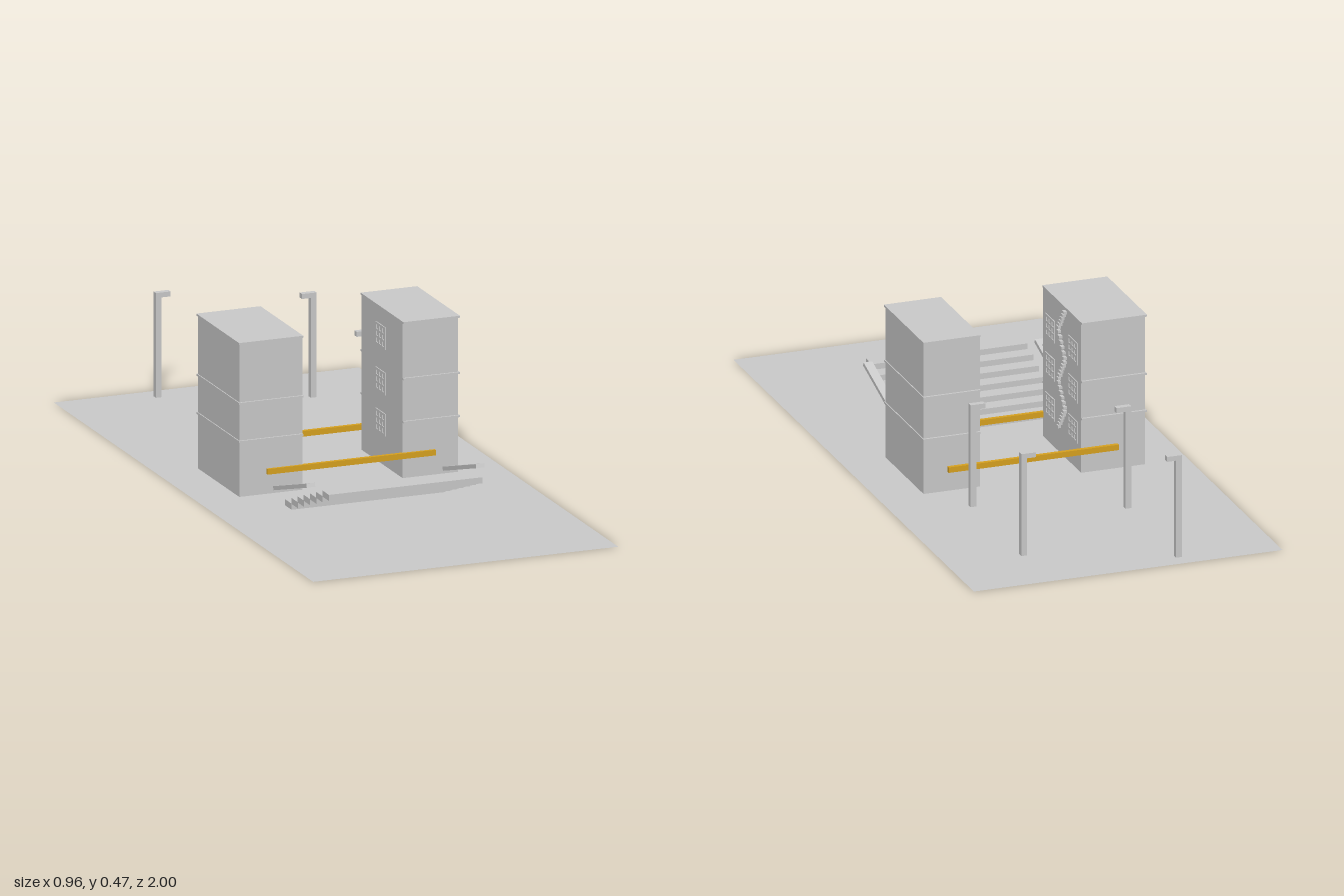
import * as THREE from 'three';

const grey = new THREE.MeshStandardMaterial({ color: 0xcccccc, flatShading: true });
const yellow = new THREE.MeshStandardMaterial({ color: 0xd9a320, flatShading: true });

// Box given by its limits on each axis
function block(parent, name, x0, x1, y0, y1, z0, z1, material = grey) {
  const mesh = new THREE.Mesh(new THREE.BoxGeometry(x1 - x0, y1 - y0, z1 - z0), material);
  mesh.position.set((x0 + x1) / 2, (y0 + y1) / 2, (z0 + z1) / 2);
  mesh.name = name;
  parent.add(mesh);
  return mesh;
}

function makeGroup(parent, name) {
  const g = new THREE.Group();
  g.name = name;
  parent.add(g);
  return g;
}

// Lattice window standing slightly proud of an inner tower wall
function addWindow(parent, wallX, out, y, z) {
  const w = 0.076, h = 0.068, bar = 0.007, n = 4;
  const g = makeGroup(parent, 'window');
  const x0 = Math.min(wallX, wallX + out), x1 = Math.max(wallX, wallX + out);
  for (let i = 0; i < n; i++) {
    const t = i / (n - 1) - 0.5;
    const cz = z + t * (w - bar), cy = y + t * (h - bar);
    block(g, 'windowUpright', x0, x1, y - h / 2, y + h / 2, cz - bar / 2, cz + bar / 2);
    block(g, 'windowCrossbar', x0, x1, cy - bar / 2, cy + bar / 2, z - w / 2, z + w / 2);
  }
}

// Tower with ledges flush on the inner side and overhanging elsewhere
function addTower(parent, name, x0, x1, height, ledges, side) {
  const g = makeGroup(parent, name);
  block(g, 'towerBody', x0, x1, 0, height - 0.001, -0.21, 0.107);
  const over = 0.003;
  for (const y of ledges) {
    block(g, 'ledge', x0 - (side < 0 ? over : 0), x1 + (side > 0 ? over : 0),
      y - 0.006, y, -0.217, 0.113);
  }
  return g;
}

export function createModel() {
  const model = new THREE.Group();
  model.name = 'courtyardWithTowers';

  // Ground sheet
  const ground = new THREE.Mesh(new THREE.PlaneGeometry(0.96, 2),
    new THREE.MeshStandardMaterial({ color: 0xcccccc, side: THREE.DoubleSide }));
  ground.rotation.x = -Math.PI / 2;
  ground.name = 'ground';
  model.add(ground);

  // Towers and their windows
  const rightTower = addTower(model, 'rightTower', -0.348, -0.149, 0.469, [0.171, 0.287, 0.469], -1);
  const leftTower = addTower(model, 'leftTower', 0.166, 0.341, 0.475, [0.173, 0.304, 0.475], 1);
  for (const y of [0.115, 0.24, 0.36]) {
    for (const z of [0.045, -0.145]) addWindow(rightTower, -0.149, 0.003, y, z);
  }
  for (const y of [0.125, 0.25, 0.388]) addWindow(leftTower, 0.166, -0.003, y, -0.06);

  // Zigzag flights of small treads up the inner wall
  const zigzag = makeGroup(rightTower, 'zigzagStairs');
  const knots = [0.08, 0.155, 0.23, 0.31, 0.39, 0.465];
  for (let f = 0; f < knots.length - 1; f++) {
    const steps = 6, dir = f % 2 ? -1 : 1;
    const rise = (knots[f + 1] - knots[f]) / steps;
    for (let i = 0; i < steps; i++) {
      const y = knots[f] + i * rise, z = -0.06 - dir * (i / (steps - 1) - 0.5) * 0.048;
      block(zigzag, 'tread', -0.149, -0.139, y, y + 0.008, z - 0.008, z + 0.008);
    }
  }

  // Beams tying the two towers together, front and back
  for (const z of [0.109, -0.216]) {
    block(model, 'beam', -0.262, 0.267, 0.06, 0.077, z - 0.006, z + 0.006, yellow);
  }

  // Wide steps rising towards the front
  const stairs = makeGroup(model, 'stairs');
  for (let i = 0; i < 7; i++) {
    const y = i * 0.0175, z = 0.237 + i * 0.048;
    block(stairs, 'step', -0.257, 0.226, y, y + 0.0185, z, z + 0.05);
  }

  // Sloping handrails
  for (const x of [-0.285, 0.248]) {
    const rail = block(stairs, 'handrail', x - 0.0135, x + 0.0135, -0.006, 0.006, -0.134, 0.134);
    rail.position.set(x, 0.098, 0.376);
    rail.rotation.x = -Math.atan2(0.078, 0.258);
  }

  // Lamp posts, heads turned towards the middle
  const lamps = [[-0.177, -0.941, 1], [0.241, -0.771, -1], [-0.177, -0.519, 1], [0.241, -0.349, -1]];
  for (const [x, z, dir] of lamps) {
    const lamp = makeGroup(model, 'lampPost');
    block(lamp, 'pole', x - 0.009, x + 0.009, 0, 0.305, z - 0.009, z + 0.009);
    const a = x - dir * 0.009, b = x + dir * 0.037;
    block(lamp, 'lampHead', Math.min(a, b), Math.max(a, b), 0.303, 0.318, z - 0.009, z + 0.009);
  }

  return model;
}
